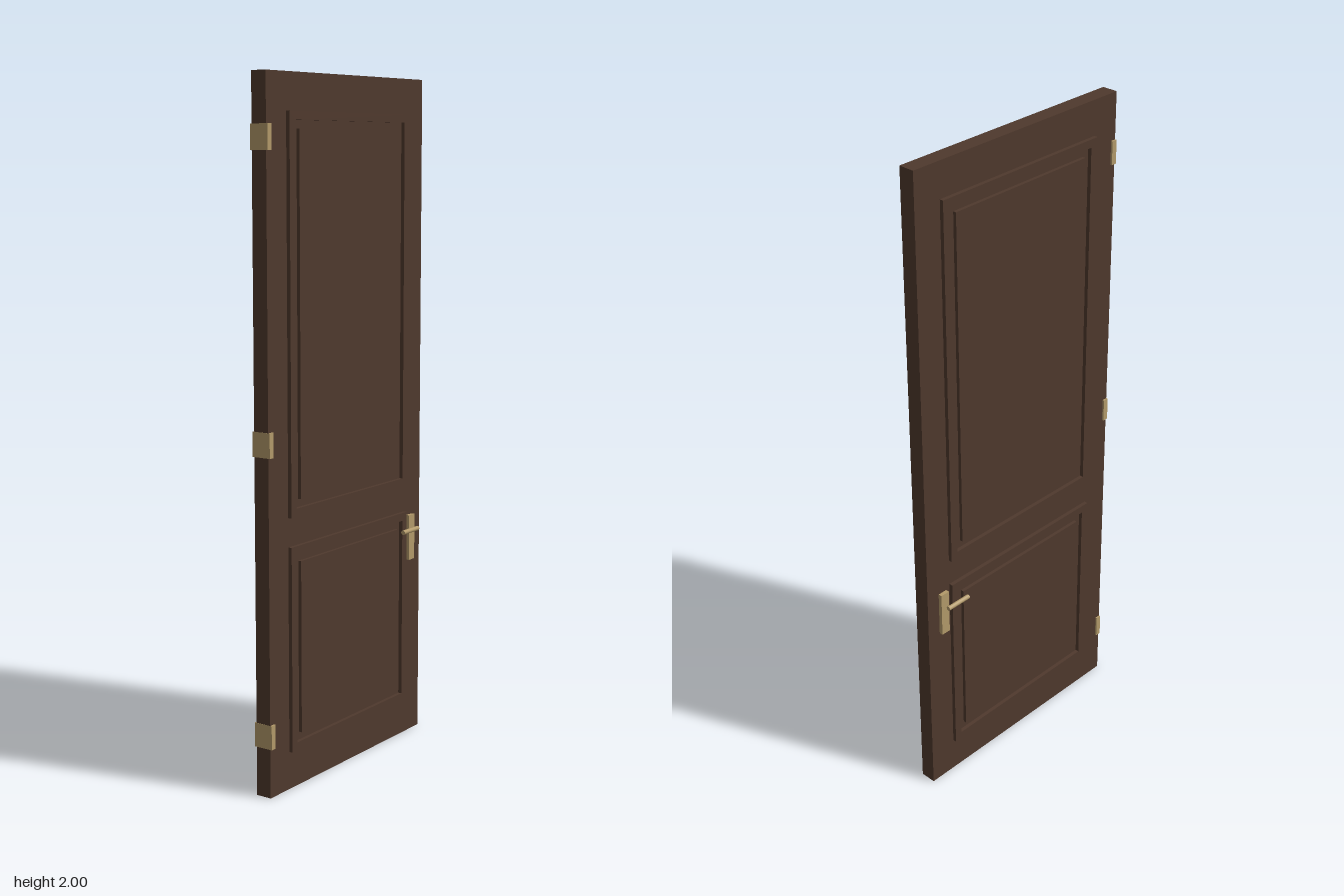
import * as THREE from 'three';

const wood = new THREE.MeshStandardMaterial({ name: 'dark wood', color: 0x4f392d });
const brass = new THREE.MeshStandardMaterial({ name: 'brass', color: 0xb39a6a });

const SLAB = 0.024; // half thickness of the door
const RAISED = 0.0355; // half thickness over the mouldings

function add(parent, name, geometry, material, x, y, z) {
  const mesh = new THREE.Mesh(geometry, material);
  mesh.name = name;
  mesh.position.set(x, y, z);
  parent.add(mesh);
  return mesh;
}

const box = (w, h, d) => new THREE.BoxGeometry(w, h, d);

// Rectangular moulding with an open middle, extruded along +z
function frameGeometry(w, h, border, depth) {
  const rect = (Type, a, b) => new Type([[-a, -b], [a, -b], [a, b], [-a, b]].map(p => new THREE.Vector2(...p)));
  const shape = rect(THREE.Shape, w / 2, h / 2);
  shape.holes.push(rect(THREE.Path, w / 2 - border, h / 2 - border));
  return new THREE.ExtrudeGeometry(shape, { depth, bevelEnabled: false });
}

// One face of the door, built facing +z
function doorFace(name) {
  const face = new THREE.Group();
  face.name = name;
  for (const [label, bottom, top] of [['upper', 0.787, 1.897], ['lower', 0.11, 0.704]]) {
    const h = top - bottom, y = (top + bottom) / 2;
    add(face, label + 'Moulding', frameGeometry(0.586, h, 0.024, RAISED - SLAB), wood, 0, y, SLAB);
    add(face, label + 'Panel', box(0.494, h - 0.094, 0.011), wood, 0, y, SLAB + 0.0045);
  }
  // Handle: back plate and horizontal lever
  add(face, 'handlePlate', box(0.03, 0.14, RAISED - SLAB), brass, 0.322, 0.62, (RAISED + SLAB) / 2);
  const lever = add(face, 'handleLever', new THREE.CylinderGeometry(0.007, 0.007, 0.081, 12), brass, 0.287, 0.649, 0.053);
  lever.rotation.z = Math.PI / 2;
  return face;
}

export function createModel() {
  const door = new THREE.Group();
  door.name = 'door';
  add(door, 'slab', box(0.762, 2, SLAB * 2), wood, 0, 1, 0);

  door.add(doorFace('frontFace'));
  // The back repeats the front, with the handle on the same edge
  const back = doorFace('backFace');
  back.rotation.y = Math.PI;
  for (const part of back.children) part.position.x *= -1;
  door.add(back);

  // Hinges wrapped around the far edge
  for (const y of [0.177, 1.002, 1.827]) add(door, 'hinge', box(0.017, 0.07, 0.059), brass, -0.373, y, 0);
  return door;
}
